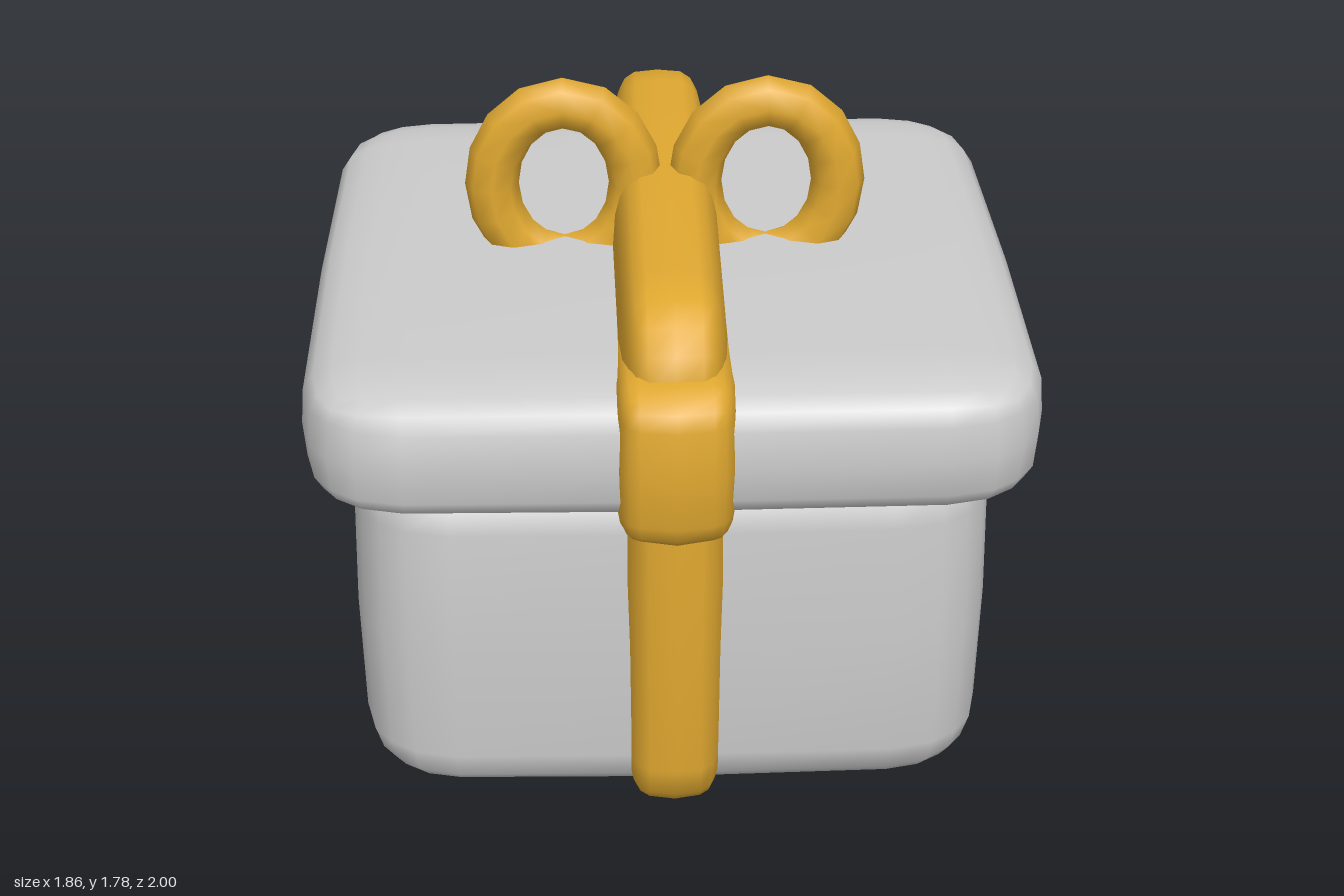
import * as THREE from 'three';
import { mergeVertices } from 'three/addons/utils/BufferGeometryUtils.js';

const grey = new THREE.MeshStandardMaterial({ color: 0xcccccc });
const gold = new THREE.MeshStandardMaterial({ color: 0xe0a830 });

// Box with elliptical rounded edges and slightly bulging faces.
// half, round and bulge are [x, y, z]; the box spans yMin to yMax.
function softBox(name, material, halfX, yMin, yMax, halfZ, round, bulge) {
  const half = [halfX, (yMax - yMin) / 2, halfZ];
  let geo = new THREE.BoxGeometry(2, 2, 2, 6, 6, 6);
  geo.deleteAttribute('uv');
  geo.deleteAttribute('normal');
  geo = mergeVertices(geo);
  const pos = geo.attributes.position;
  for (let i = 0; i < pos.count; i++) {
    const t = [pos.getX(i), pos.getY(i), pos.getZ(i)];
    // distance into the rounded zone on each axis, projected onto a sphere
    const d = t.map((v) => Math.max(0, Math.abs(v) * 1.5 - 0.5));
    const len = Math.hypot(...d);
    const mid = t.map((v) => Math.max(0, 1 - Math.abs(v) * 3));
    const p = t.map((v, a) => {
      const inner = half[a] - round[a] - bulge[a];
      const swell = bulge[a] * (mid[(a + 1) % 3] + mid[(a + 2) % 3]) / 2;
      const flat = Math.min(1, Math.abs(v) * 3) * inner;
      return Math.sign(v) * (flat + round[a] * d[a] / len + swell * d[a]);
    });
    pos.setXYZ(i, ...p);
  }
  geo.computeVertexNormals();
  const mesh = new THREE.Mesh(geo, material);
  mesh.name = name;
  mesh.position.y = (yMin + yMax) / 2;
  return mesh;
}

// Oval ring of tube that sinks into the lid
function bowLoop(name, side) {
  const points = [];
  for (let i = 0; i < 14; i++) {
    const a = (i / 14) * Math.PI * 2;
    points.push(new THREE.Vector3(side * (0.268 + 0.19 * Math.cos(a)), 1.49 + 0.225 * Math.sin(a), 0));
  }
  const path = new THREE.CatmullRomCurve3(points, true);
  const mesh = new THREE.Mesh(new THREE.TubeGeometry(path, 16, 0.071, 8, true), gold);
  mesh.name = name;
  return mesh;
}

export function createModel() {
  const group = new THREE.Group();
  group.name = 'giftBox';
  group.add(
    softBox('boxBody', grey, 0.83, 0.04, 1.07, 0.82, [0.25, 0.17, 0.25], [0.015, 0.008, 0.015]),
    softBox('lid', grey, 0.93, 0.955, 1.335, 0.925, [0.25, 0.09, 0.25], [0.015, 0.006, 0.015]),
    // ribbon around the whole box, and the thicker band over the lid edge
    softBox('ribbon', gold, 0.148, 0.01, 1.535, 0.9, [0.07, 0.2, 0.28], [0.012, 0.01, 0.015]),
    softBox('lidRibbon', gold, 0.157, 0.91, 1.375, 1.0, [0.06, 0.09, 0.15], [0.008, 0.01, 0.03]),
    bowLoop('leftBowLoop', 1),
    bowLoop('rightBowLoop', -1),
  );
  return group;
}
